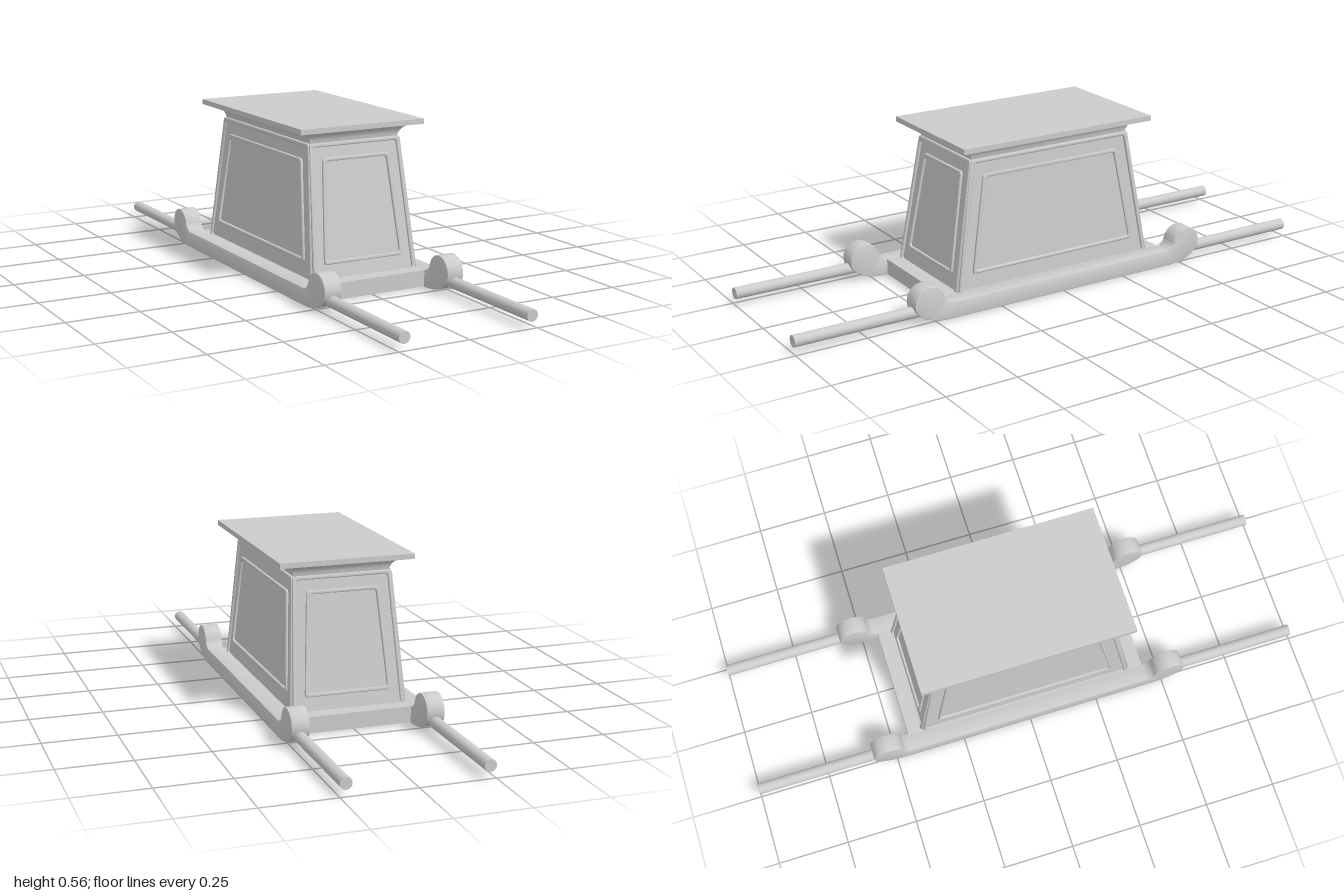
import * as THREE from 'three';
import { toCreasedNormals } from 'three/addons/utils/BufferGeometryUtils.js';

const grey = () => new THREE.MeshStandardMaterial({ color: 0xcccccc });

function add(parent, name, geometry) {
  const mesh = new THREE.Mesh(geometry, grey());
  mesh.name = name;
  parent.add(mesh);
  return mesh;
}

// Stack of rectangles [halfX, y, halfZ] from bottom to top, closed at both ends
function rectLoft(rings) {
  const pos = [];
  const corners = ([hx, y, hz]) => [[hx, y, hz], [hx, y, -hz], [-hx, y, -hz], [-hx, y, hz]];
  const quad = (a, b, c, d) => pos.push(...a, ...b, ...c, ...a, ...c, ...d);
  for (let i = 0; i < rings.length - 1; i++) {
    const lo = corners(rings[i]), hi = corners(rings[i + 1]);
    for (let k = 0; k < 4; k++) {
      const n = (k + 1) % 4;
      quad(lo[k], lo[n], hi[n], hi[k]);
    }
  }
  const b = corners(rings[0]), t = corners(rings[rings.length - 1]);
  quad(b[3], b[2], b[1], b[0]);
  quad(t[0], t[1], t[2], t[3]);
  const geo = new THREE.BufferGeometry();
  geo.setAttribute('position', new THREE.Float32BufferAttribute(pos, 3));
  return toCreasedNormals(geo, 0.6);
}

// Trapezoid outline with rounded corners
function trapezoid(Kind, bottom, top, y0, y1, r) {
  const p = [[-bottom, y0], [bottom, y0], [top, y1], [-top, y1]].map(q => new THREE.Vector2(...q));
  const path = new Kind();
  p.forEach((c, i) => {
    const toward = q => c.clone().add(q.clone().sub(c).setLength(r));
    const a = toward(p[(i + 3) % 4]), b = toward(p[(i + 1) % 4]);
    if (i === 0) path.moveTo(a.x, a.y); else path.lineTo(a.x, a.y);
    path.quadraticCurveTo(c.x, c.y, b.x, b.y);
  });
  path.closePath();
  return path;
}

// Raised rounded moulding that follows a trapezoid
function moulding(bottom, top, y0, y1, w) {
  const shape = trapezoid(THREE.Shape, bottom, top, y0, y1, 0.012);
  shape.holes.push(trapezoid(THREE.Path, bottom - w, top - w, y0 + w, y1 - w, 0.009));
  const geo = new THREE.ExtrudeGeometry(shape, {
    depth: 0.006, bevelEnabled: true, bevelThickness: 0.004, bevelSize: 0.004,
    bevelOffset: -0.004, bevelSegments: 3, curveSegments: 5,
  });
  geo.translate(0, 0, -0.002);
  return toCreasedNormals(geo, 0.7);
}

// Side profile of a runner: flat bar with a round curl at each end
function runnerGeometry() {
  const s = new THREE.Shape(), cz = 0.524, cy = 0.072, r = 0.056;
  s.moveTo(-0.45, 0);
  s.lineTo(0.45, 0);
  s.bezierCurveTo(0.5, 0.001, 0.545, 0.012, cz + r * Math.cos(-0.5), cy + r * Math.sin(-0.5));
  s.absarc(cz, cy, r, -0.5, Math.PI * 0.95, false);
  s.quadraticCurveTo(0.458, 0.058, 0.43, 0.058);
  s.lineTo(-0.43, 0.058);
  s.quadraticCurveTo(-0.458, 0.058, -cz + r * Math.cos(Math.PI * 0.05), cy + r * Math.sin(Math.PI * 0.05));
  s.absarc(-cz, cy, r, Math.PI * 0.05, Math.PI + 0.5, false);
  s.bezierCurveTo(-0.545, 0.012, -0.5, 0.001, -0.45, 0);
  const geo = new THREE.ExtrudeGeometry(s, {
    depth: 0.056, bevelEnabled: true, bevelThickness: 0.003, bevelSize: 0.003,
    bevelOffset: -0.003, bevelSegments: 2, curveSegments: 20,
  });
  geo.translate(0, 0, -0.028);
  geo.rotateY(-Math.PI / 2);
  return toCreasedNormals(geo, 0.5);
}

export function createModel() {
  const model = new THREE.Group();
  model.name = 'carriedShrine';

  // Sledge base
  const base = add(model, 'baseBoard', new THREE.BoxGeometry(0.41, 0.056, 0.88));
  base.position.y = 0.03;

  // Runners and carrying poles
  const runner = runnerGeometry();
  const pole = new THREE.CylinderGeometry(0.02, 0.02, 0.46, 24).rotateX(Math.PI / 2);
  for (const sx of [1, -1]) {
    add(model, sx > 0 ? 'leftRunner' : 'rightRunner', runner).position.x = sx * 0.231;
    for (const sz of [1, -1]) {
      const name = (sz > 0 ? 'front' : 'back') + (sx > 0 ? 'Left' : 'Right') + 'Pole';
      add(model, name, pole).position.set(sx * 0.231, 0.042, sz * 0.77);
    }
  }

  // Tapered cabin
  const y0 = 0.055, y1 = 0.5;
  const low = { x: 0.197, z: 0.385 }, high = { x: 0.168, z: 0.31 };
  add(model, 'cabin', rectLoft([[low.x, y0, low.z], [high.x, y1, high.z]]));

  // Edge frame and panel moulding on each sloping wall
  const walls = [
    { name: 'front', turn: 0, across: 'x', out: 'z', panel: [0.151, 0.127, 0.105, 0.45] },
    { name: 'left', turn: 1, across: 'z', out: 'x', panel: [0.326, 0.27, 0.11, 0.445] },
    { name: 'back', turn: 2, across: 'x', out: 'z', panel: [0.151, 0.127, 0.105, 0.45] },
    { name: 'right', turn: 3, across: 'z', out: 'x', panel: [0.326, 0.27, 0.11, 0.445] },
  ];
  for (const { name, turn, across, out, panel } of walls) {
    const lean = Math.atan((low[out] - high[out]) / (y1 - y0));
    const up = y => (y - y0) / Math.cos(lean);
    const wall = new THREE.Group();
    wall.name = name + 'Wall';
    wall.rotation.y = turn * Math.PI / 2;
    const face = new THREE.Group();
    face.name = name + 'Trim';
    face.position.set(0, y0, low[out]);
    face.rotation.x = -lean;
    wall.add(face);
    add(face, name + 'EdgeFrame',
      moulding(low[across] + 0.001, high[across] + 0.005, up(0.044), up(0.5), 0.014));
    add(face, name + 'PanelMoulding',
      moulding(panel[0], panel[1], up(panel[2]), up(panel[3]), 0.012));
    model.add(wall);
  }

  // Hollow-curved cornice under a flat roof slab
  const cove = [];
  for (let i = 0; i <= 10; i++) {
    const a = (i / 10) * Math.PI / 2;
    const grow = 1 - Math.cos(a), y = 0.494 + 0.05 * Math.sin(a);
    cove.push([0.167 + 0.05 * grow, y, 0.31 + 0.05 * grow]);
  }
  add(model, 'cornice', rectLoft(cove));
  const roof = add(model, 'roofSlab', new THREE.BoxGeometry(0.466, 0.018, 0.746));
  roof.position.y = 0.552;

  return model;
}
